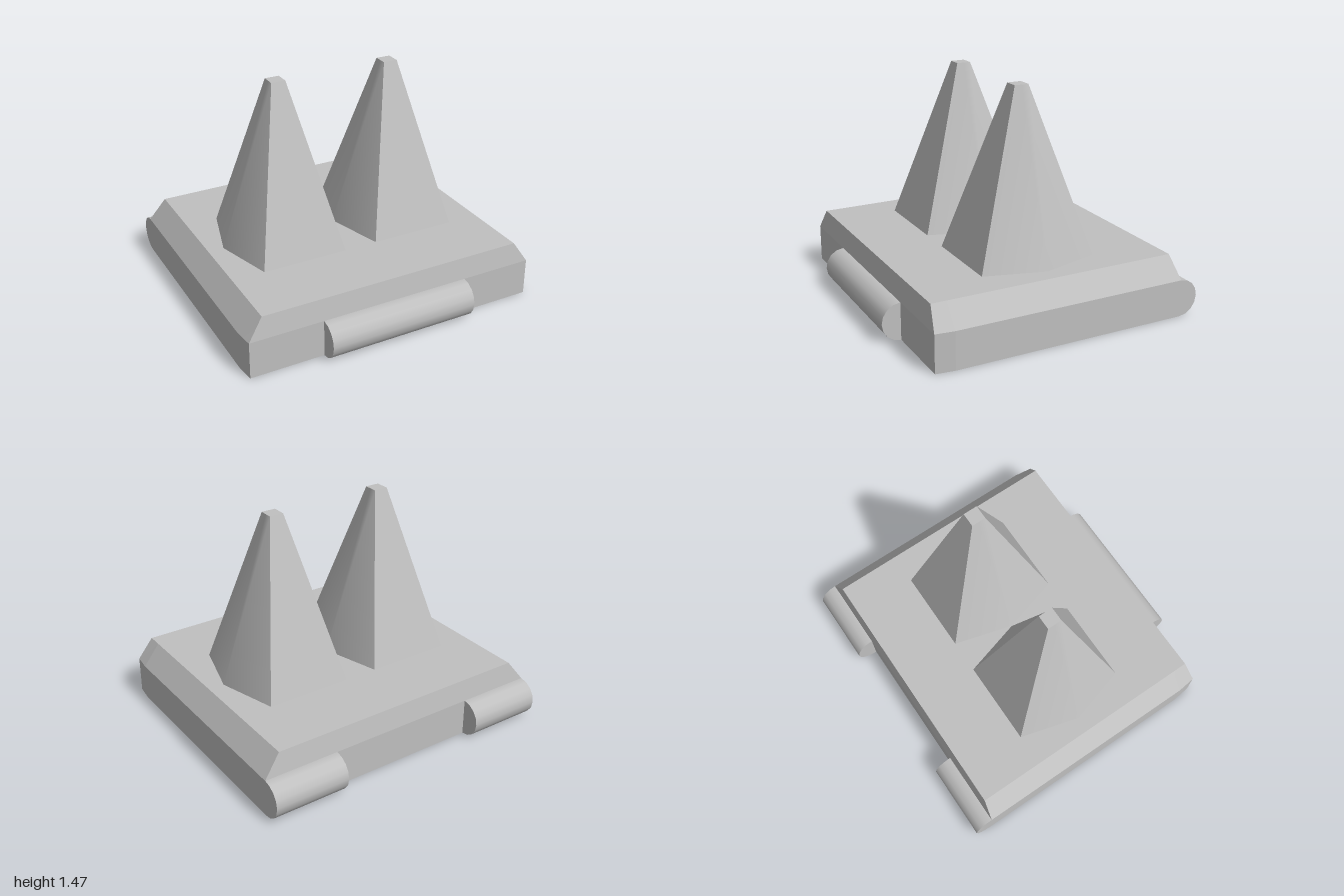
import * as THREE from 'three';

const grey = new THREE.MeshStandardMaterial({ color: 0xc0c0c0 });
grey.name = 'light grey';

const HALF_DEPTH = 0.8425;
const PLATE_TOP = 0.387;
const RIM = 0.245;

// Faces from [x, y, z] corner lists; each strip shares vertices, so it shades smoothly.
function stripGeometry(strips) {
  const pos = [], index = [];
  for (const { lower, upper } of strips) {
    const start = pos.length / 3, n = lower.length;
    pos.push(...lower.flat(), ...upper.flat());
    for (let i = 0; i < n - 1; i++) {
      const a = start + i, b = a + 1, c = a + n, d = b + n;
      index.push(a, b, d, a, d, c);
    }
  }
  const geo = new THREE.BufferGeometry();
  geo.setAttribute('position', new THREE.Float32BufferAttribute(pos, 3));
  geo.setIndex(index);
  geo.computeVertexNormals();
  return geo;
}

// Horizontal cap from a counter-clockwise (seen from above) outline of [x, z].
function capGeometry(outline, y, up) {
  const shape = new THREE.Shape(outline.map(([x, z]) => new THREE.Vector2(x, up ? -z : z)));
  return new THREE.ShapeGeometry(shape).rotateX(up ? -Math.PI / 2 : Math.PI / 2).translate(0, y, 0);
}

function add(parent, name, geometry) {
  const mesh = new THREE.Mesh(geometry, grey);
  mesh.name = name;
  parent.add(mesh);
  return mesh;
}

const at = (outline, y) => outline.map(([x, z]) => [x, y, z]);

// One flat strip per outline edge
function flatWalls(lower, upper) {
  return lower.map((p, i) => {
    const j = (i + 1) % lower.length;
    return { lower: [p, lower[j]], upper: [upper[i], upper[j]] };
  });
}

// Plate with slightly tapered front corners and a sloping rim
function buildPlate() {
  const plate = new THREE.Group();
  plate.name = 'basePlate';
  const outer = [
    [-0.985, HALF_DEPTH], [0.985, HALF_DEPTH], [1, 0.72],
    [1, -HALF_DEPTH], [-1, -HALF_DEPTH], [-1, 0.72],
  ];
  const inner = [
    [-0.89, 0.82], [0.89, 0.82], [0.89, 0.72],
    [0.89, -0.82], [-0.89, -0.82], [-0.89, 0.72],
  ];
  add(plate, 'plateSides', stripGeometry(flatWalls(at(outer, 0), at(outer, RIM))));
  add(plate, 'plateBevel', stripGeometry(flatWalls(at(outer, RIM), at(inner, PLATE_TOP))));
  add(plate, 'plateTop', capGeometry(inner, PLATE_TOP, true));
  add(plate, 'plateBottom', capGeometry(outer, 0, false));
  return plate;
}

// Spike: six-sided foot narrowing to a small square tip, softly folded on its sides
function buildSpike(x) {
  const spike = new THREE.Group();
  spike.name = 'spike';
  const tipY = 1.465, t = 0.047;
  const foot = at([[-0.283, 0.39], [0.283, 0.39], [0.393, 0],
    [0.283, -0.39], [-0.283, -0.39], [-0.393, 0]], PLATE_TOP);
  const tip = at([[-t, t], [t, t], [t, 0], [t, -t], [-t, -t], [-t, 0]], tipY);
  const groups = [[0, 1], [1, 2, 3], [3, 4], [4, 5, 0]];
  add(spike, 'spikeSides', stripGeometry(groups.map((g) => ({
    lower: g.map((i) => foot[i]), upper: g.map((i) => tip[i]),
  }))));
  add(spike, 'spikeTip', capGeometry([[-t, t], [t, t], [t, -t], [-t, -t]], tipY, true));
  spike.position.x = x;
  return spike;
}

// Half-round hinge barrel against the front (side = 1) or back (side = -1) edge
function buildBarrel(parent, name, x, length, side) {
  const r = RIM / 2;
  const geo = new THREE.CylinderGeometry(r, r, length, 8, 1, false, -side * Math.PI / 2, Math.PI);
  geo.rotateZ(Math.PI / 2);
  add(parent, name, geo).position.set(x, r, side * HALF_DEPTH);
}

export function createModel() {
  const model = new THREE.Group();
  model.name = 'spikedPlate';
  model.add(buildPlate());
  for (const s of [-1, 1]) {
    model.add(buildSpike(s * 0.394));
    buildBarrel(model, 'backBarrel', s * 0.75, 0.5, -1);
  }
  buildBarrel(model, 'frontBarrel', 0, 1, 1);
  return model;
}
